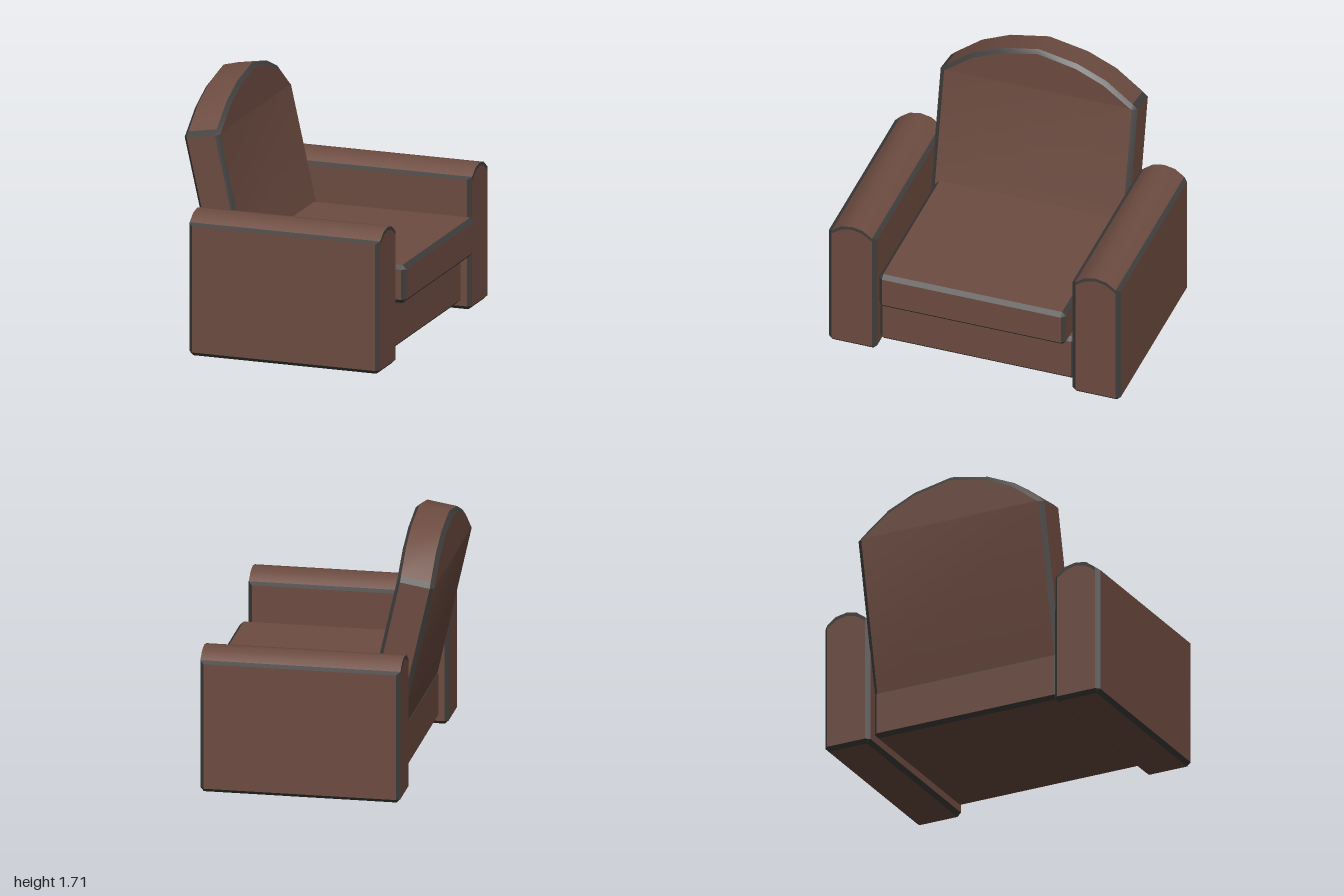
import * as THREE from 'three';
import { toCreasedNormals } from 'three/addons/utils/BufferGeometryUtils.js';

const cover = new THREE.MeshStandardMaterial({ color: 0x6d4c41 });
cover.name = 'brown cover';
const piping = new THREE.MeshStandardMaterial({ color: 0x403e3d });
piping.name = 'dark piping';

// Mesh from a list of quads (four Vector3 each), skipping collapsed triangles
function quadMesh(name, quads, material) {
  const pos = [];
  const tri = new THREE.Triangle();
  for (const [a, b, c, d] of quads) {
    for (const t of [[a, b, c], [a, c, d]]) {
      if (tri.set(...t).getArea() > 1e-7) t.forEach((v) => pos.push(v.x, v.y, v.z));
    }
  }
  const geo = new THREE.BufferGeometry();
  geo.setAttribute('position', new THREE.Float32BufferAttribute(pos, 3));
  const mesh = new THREE.Mesh(toCreasedNormals(geo, 0.5), material);
  mesh.name = name;
  return mesh;
}

// Padded block running from x0 to x1, symmetric in z. Each profile row, bottom to top:
// [outer z, outer y, end-face z, end-face y, how far the outer edge stops short of the end].
// Profile segments listed in darkSegs are piping, as are the chamfers around both ends.
function paddedBlock(name, x0, x1, rows, darkSegs, warp = (v) => v) {
  const brown = [], dark = [];
  const P = (i, s, front) => {
    const [z, y, , , inset] = rows[i];
    return warp(new THREE.Vector3(front ? x1 - inset : x0 + inset, y, s * z));
  };
  const Q = (i, s, front) => warp(new THREE.Vector3(front ? x1 : x0, rows[i][3], s * rows[i][2]));
  const add = (list, flip, ...q) => list.push(flip ? q.reverse() : q);
  const last = rows.length - 1;

  for (let i = 0; i < last; i++) {
    const j = i + 1;
    for (const s of [1, -1]) {
      add(darkSegs.includes(i) ? dark : brown, s < 0,
        P(i, s, false), P(i, s, true), P(j, s, true), P(j, s, false));
      for (const f of [true, false]) add(dark, (s < 0) === f, P(i, s, f), Q(i, s, f), Q(j, s, f), P(j, s, f));
    }
    for (const f of [true, false]) add(brown, !f, Q(i, 1, f), Q(i, -1, f), Q(j, -1, f), Q(j, 1, f));
  }
  // Bottom and top panels with their end chamfers
  add(brown, false, P(0, 1, false), P(0, -1, false), P(0, -1, true), P(0, 1, true));
  add(brown, true, P(last, 1, false), P(last, -1, false), P(last, -1, true), P(last, 1, true));
  for (const f of [true, false]) {
    add(dark, !f, P(0, 1, f), P(0, -1, f), Q(0, -1, f), Q(0, 1, f));
    add(dark, !f, Q(last, 1, f), Q(last, -1, f), P(last, -1, f), P(last, 1, f));
  }
  const group = new THREE.Group();
  group.name = name;
  group.add(quadMesh(name + 'Cover', brown, cover), quadMesh(name + 'Piping', dark, piping));
  return group;
}

// Profile of a box with chamfered edges
const boxRows = (a, y0, y1, b) => [
  [a - b, y0, a - b, y0 + b, b],
  [a, y0 + b, a - b, y0 + b, b],
  [a, y1 - b, a - b, y1 - b, b],
  [a - b, y1, a - b, y1 - b, b],
];

export function createModel() {
  const chair = new THREE.Group();
  chair.name = 'armchair';

  // Seat base and loose cushion
  chair.add(paddedBlock('seatBase', -0.54, 0.655, boxRows(0.67, 0.05, 0.38, 0.025), [0, 2]));
  chair.add(paddedBlock('seatCushion', -0.45, 0.76, boxRows(0.64, 0.385, 0.64, 0.027), [0, 2]));

  // Arms with rounded tops
  const armRows = [
    [0.138, 0, 0.138, 0.025, 0.025],
    [0.165, 0.025, 0.138, 0.025, 0.025],
    [0.165, 0.87, 0.138, 0.865, 0.025],
    [0.138, 0.888, 0.138, 0.865, 0],
    [0.075, 0.935, 0.068, 0.912, 0],
    [0, 0.95, 0, 0.927, 0],
  ];
  for (const s of [1, -1]) {
    const arm = paddedBlock(s > 0 ? 'armNear' : 'armFar', -0.6, 0.715, armRows, [0, 2]);
    arm.position.z = s * 0.835;
    chair.add(arm);
  }

  // Arched backrest: leans back up to the bend, then stands upright
  const thick = 0.245, bend = 1.4;
  const backRows = [
    [0.64, 0.4, 0.64, 0.4, 0.025],
    [0.675, 0.4, 0.643, 0.4, 0.025],
    [0.675, bend, 0.643, bend, 0.025],
    [0.64, 1.433, 0.625, bend + 0.012, 0.025],
    [0.46, 1.575, 0.45, 1.547, 0.025],
    [0.265, 1.662, 0.258, 1.634, 0.025],
    [0, 1.715, 0, 1.688, 0.025],
  ];
  const lean = (v) => {
    const x = -0.76 + v.x + 0.225 * Math.max(0, bend - v.y);
    return v.set(x, v.y - 0.04 * (1 - v.x / thick), v.z);
  };
  chair.add(paddedBlock('backrest', 0, thick, backRows, [2], lean));

  return chair;
}
